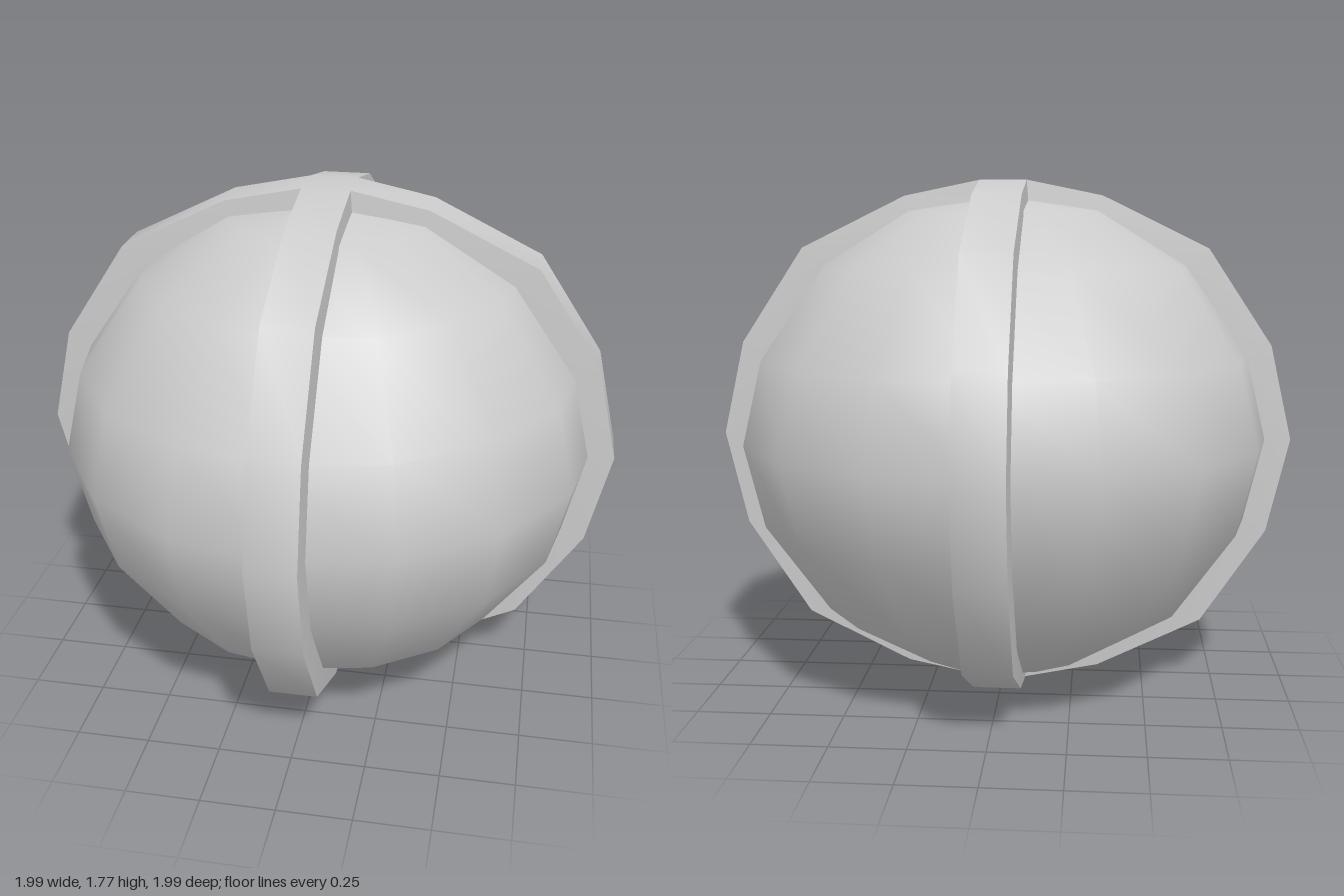
import * as THREE from 'three';
import { mergeGeometries, toCreasedNormals } from 'three/addons/utils/BufferGeometryUtils.js';

const MID = 0.885; // height of the equator
const TOP_W = 0.081, BASE_W = 0.088; // half widths of a strap at its outer face and foot

// upper profiles as [radius, height above equator], pole first
const BALL = [[0, 0.835], [0.343, 0.78], [0.642, 0.595], [0.858, 0.285], [0.925, 0]];
const OUTER = [[TOP_W, 0.885], [0.34, 0.832], [0.702, 0.655], [0.922, 0.325], [0.997, 0]];
const INNER = [[BASE_W, 0.8], [0.333, 0.765], [0.622, 0.58], [0.835, 0.278], [0.895, 0]];

// mirror an upper profile below the equator
const fullProfile = (p) => [...p, ...p.slice(0, -1).reverse().map(([r, y]) => [r, -y])];

// one raised half-strap running pole to pole along +x: outer face and two side walls
function strapArm() {
  const outer = fullProfile(OUTER), inner = fullProfile(INNER);
  const pos = [];
  const quad = (a, b, c, d) => pos.push(...a, ...b, ...c, ...a, ...c, ...d);
  const at = ([r, y], z) => [r, y, z];
  for (let i = 0; i < outer.length - 1; i++) {
    const a = at(outer[i], TOP_W), b = at(outer[i], -TOP_W);
    const c = at(outer[i + 1], TOP_W), d = at(outer[i + 1], -TOP_W);
    const ia = at(inner[i], BASE_W), ib = at(inner[i], -BASE_W);
    const ic = at(inner[i + 1], BASE_W), id = at(inner[i + 1], -BASE_W);
    quad(a, c, d, b);
    quad(ia, ic, c, a);
    quad(ib, b, d, id);
  }
  const geo = new THREE.BufferGeometry();
  geo.setAttribute('position', new THREE.Float32BufferAttribute(pos, 3));
  return geo;
}

// flat square where the straps cross at a pole
function poleCap(sign) {
  const geo = new THREE.PlaneGeometry(2 * TOP_W, 2 * TOP_W).toNonIndexed();
  geo.deleteAttribute('uv');
  geo.deleteAttribute('normal');
  return geo.rotateX(-sign * Math.PI / 2).translate(0, sign * OUTER[0][1], 0);
}

export function createModel() {
  const group = new THREE.Group();
  group.name = 'strappedBall';
  const material = new THREE.MeshStandardMaterial({ color: 0xcccccc });

  // slightly flattened ball, profile drawn from the bottom up
  const profile = fullProfile(BALL).reverse().map(([r, y]) => new THREE.Vector2(r, y));
  const ball = new THREE.Mesh(new THREE.LatheGeometry(profile, 16), material);
  ball.name = 'ball';

  // two crossing straps made of four arms and two pole caps
  const parts = [poleCap(1), poleCap(-1)];
  for (let i = 0; i < 4; i++) parts.push(strapArm().rotateY(i * Math.PI / 2));
  const straps = new THREE.Mesh(toCreasedNormals(mergeGeometries(parts), 0.7), material);
  straps.name = 'crossedStraps';

  for (const mesh of [ball, straps]) {
    mesh.position.y = MID;
    group.add(mesh);
  }
  return group;
}
